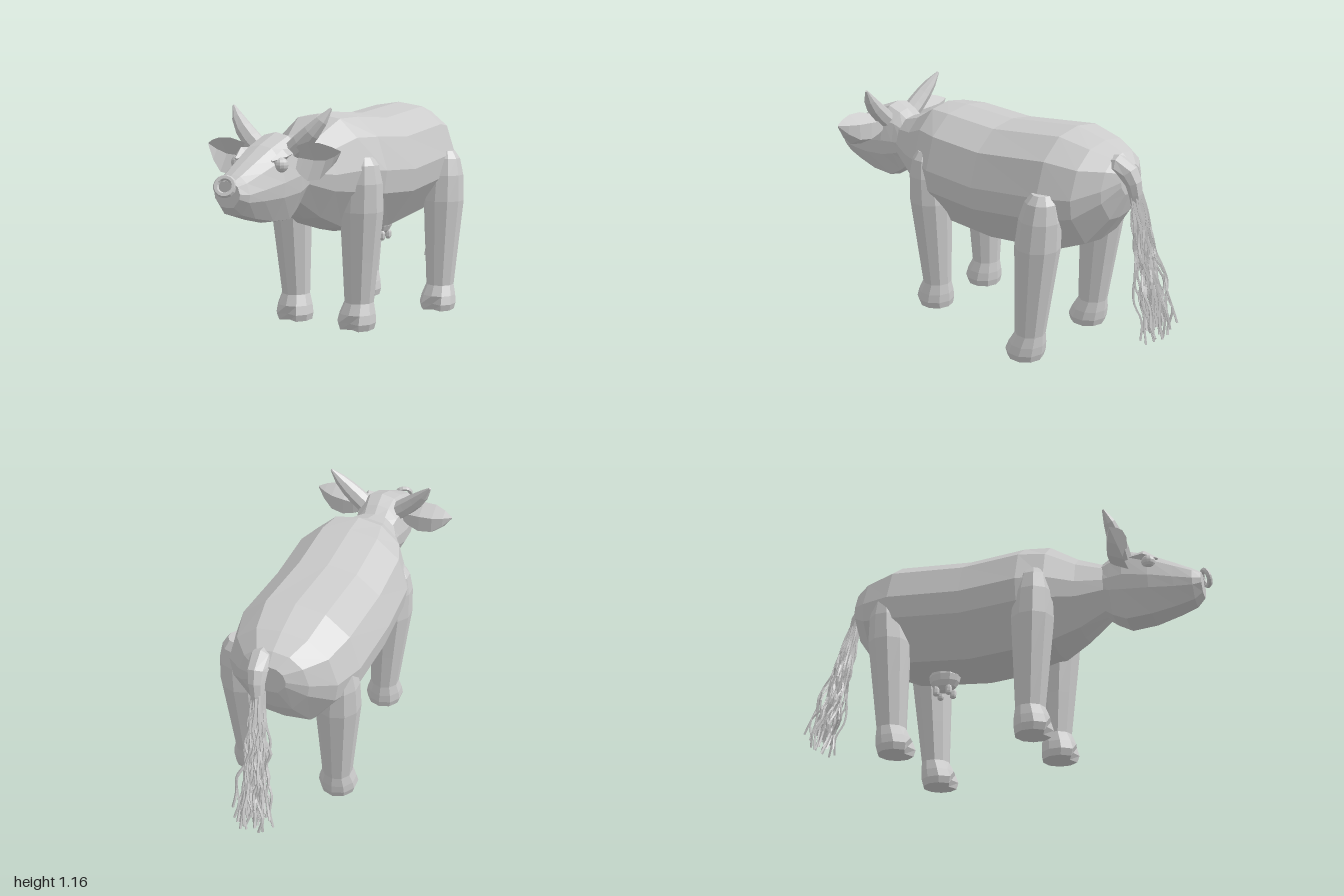
import * as THREE from 'three';
import { mergeGeometries } from 'three/addons/utils/BufferGeometryUtils.js';

const V = (x, y, z) => new THREE.Vector3(x, y, z);
const grey = new THREE.MeshStandardMaterial({ color: 0xcccccc, flatShading: true, side: THREE.DoubleSide });

// Skin between rings of points, closed at both ends
function loft(rings) {
  const n = rings[0].length, pos = [], idx = [];
  rings.forEach(r => r.forEach(p => pos.push(p.x, p.y, p.z)));
  for (let i = 0; i < rings.length - 1; i++) {
    for (let j = 0; j < n; j++) {
      const a = i * n + j, b = i * n + (j + 1) % n;
      idx.push(a, b, b + n, a, b + n, a + n);
    }
  }
  [0, rings.length - 1].forEach((i, end) => {
    const c = rings[i].reduce((s, p) => s.add(p), V(0, 0, 0)).divideScalar(n);
    const k = pos.length / 3;
    pos.push(c.x, c.y, c.z);
    for (let j = 0; j < n; j++) {
      const a = i * n + j, b = i * n + (j + 1) % n;
      if (end) idx.push(k, a, b); else idx.push(k, b, a);
    }
  });
  const g = new THREE.BufferGeometry();
  g.setAttribute('position', new THREE.Float32BufferAttribute(pos, 3));
  g.setIndex(idx);
  g.computeVertexNormals();
  return g;
}

// Round tapering limb along a smooth curve
function taper(points, radii, sides = 8) {
  const curve = new THREE.CatmullRomCurve3(points), n = radii.length - 1;
  const f = curve.computeFrenetFrames(n, false);
  return loft(radii.map((r, i) => Array.from({ length: sides }, (_, j) => {
    const t = j / sides * Math.PI * 2;
    return curve.getPointAt(i / n)
      .addScaledVector(f.normals[i], r * Math.cos(t))
      .addScaledVector(f.binormals[i], r * Math.sin(t));
  })));
}

// Half outline of the trunk from top to bottom, mirrored into a full ring
const half = [[0, 1], [0.46, 0.93], [0.83, 0.62], [1, 0.08], [0.95, -0.3], [0.5, -0.93], [0, -1]];
const outline = [...half.map(([x, y]) => [-x, y]), ...half.slice(1, -1).reverse()];
const trunk = sections => loft(sections.map(([z, top, bottom, w]) =>
  outline.map(([x, y]) => V(x * w, (top + bottom) / 2 + y * (top - bottom) / 2, z))));

// Leg with a cloven hoof: rows of height, radius, forward shift, cleft
function leg(foot, top) {
  const rows = [[0, 0.09, 0.018, 0.55], [0.035, 0.1, 0.02, 0.65], [0.08, 0.093, 0.012, 0.95], [0.135, 0.076, 0, 1],
    [0.35, 0.092, 0, 1], [0.6, 0.111, 0, 1], [0.74, 0.102, 0, 1], [0.83, 0.08, 0, 1], [0.87, 0.05, 0, 1]];
  return loft(rows.map(([y, r, fwd, cleft]) => {
    const c = foot.clone().lerp(top, y / 0.87);
    return Array.from({ length: 10 }, (_, j) => {
      const t = j / 10 * Math.PI * 2, q = j === 0 ? r * cleft : r;
      return V(c.x + q * Math.sin(t), foot.y + y, c.z + fwd + q * Math.cos(t));
    });
  }));
}

// Cupped ear, side is 1 for left and -1 for right, sweep moves the tip forward
function ear(side, sweep) {
  const rows = [[0.11, 0.93, 0.03], [0.16, 0.925, 0.065], [0.22, 0.92, 0.088], [0.29, 0.925, 0.082], [0.345, 0.945, 0.048], [0.39, 0.97, 0.004]];
  return loft(rows.map(([x, y, h], i) => {
    const d = h * 0.5, z = 0.66 + sweep * i / 5;
    const ring = [V(x, y + h, z + d), V(x, y, z - d * 0.3), V(x, y - h, z + d), V(x, y - h * 0.5, z - d), V(x, y + h * 0.5, z - d)];
    ring.forEach(p => { p.x *= side; });
    return side > 0 ? ring : ring.reverse();
  }));
}

export function createModel() {
  const model = new THREE.Group();
  model.name = 'cow';
  const cow = new THREE.Group();
  cow.name = 'animal';
  cow.rotation.y = THREE.MathUtils.degToRad(-62);
  cow.position.set(-0.028, 0, -0.053);
  model.add(cow);
  const add = (name, geo, p = V(0, 0, 0), parent = cow) => {
    const m = new THREE.Mesh(geo, grey);
    m.name = name;
    m.position.copy(p);
    parent.add(m);
    return m;
  };

  // Trunk and neck: z, top, bottom, half width
  add('body', trunk([
    [-0.86, 1.0, 0.86, 0.08], [-0.81, 1.05, 0.73, 0.17], [-0.71, 1.09, 0.59, 0.268], [-0.55, 1.13, 0.52, 0.317],
    [-0.15, 1.09, 0.48, 0.32], [0.15, 1.11, 0.5, 0.315], [0.28, 1.105, 0.53, 0.265], [0.42, 1.02, 0.6, 0.19], [0.56, 0.97, 0.7, 0.12]]));
  add('head', trunk([
    [0.52, 0.97, 0.71, 0.12], [0.58, 1.01, 0.66, 0.13], [0.65, 1.04, 0.62, 0.145], [0.78, 0.99, 0.63, 0.14],
    [0.9, 0.925, 0.66, 0.115], [0.99, 0.875, 0.69, 0.095], [1.03, 0.85, 0.73, 0.07]]));

  // Horns, ears, eyes and brows
  for (const s of [1, -1]) {
    const side = s > 0 ? 'left' : 'right';
    add(side + 'Horn', taper([V(0.085 * s, 0.95, 0.65), V(0.155 * s, 1.01, 0.645), V(0.222 * s, 1.08, 0.63), V(0.275 * s, 1.155, 0.605)],
      [0.05, 0.049, 0.043, 0.03, 0.006]));
    add(side + 'Ear', ear(s, s > 0 ? 0.05 : 0));
    add(side + 'Eye', new THREE.SphereGeometry(0.036, 12, 8), V(0.117 * s, 0.905, 0.785));
    add(side + 'Brow', taper([V(0.1 * s, 0.95, 0.69), V(0.115 * s, 0.945, 0.76), V(0.1 * s, 0.925, 0.83)], [0.02, 0.03, 0.006], 4));
  }

  // Nose ring
  const ring = add('noseRing', new THREE.TorusGeometry(0.04, 0.013, 6, 16), V(0, 0.828, 1.045));
  ring.rotation.set(-0.4, 0.4, 0);

  // Legs: foot, then top
  add('frontLeftLeg', leg(V(0.18, 0.03, 0.2), V(0.222, 0.9, 0.225)));
  add('frontRightLeg', leg(V(-0.2, 0.03, 0.185), V(-0.222, 0.9, 0.22)));
  add('hindLeftLeg', leg(V(0.288, 0, -0.5), V(0.288, 0.87, -0.565)));
  add('hindRightLeg', leg(V(-0.2, 0.02, -0.53), V(-0.222, 0.89, -0.585)));

  // Udder with four teats
  const udder = new THREE.Group();
  udder.name = 'udder';
  cow.add(udder);
  const bag = add('bag', new THREE.SphereGeometry(0.085, 10, 8), V(0, 0.495, -0.346), udder);
  bag.scale.x = 0.75;
  for (const x of [-1, 1]) for (const z of [-1, 1])
    add('teat', new THREE.CapsuleGeometry(0.018, 0.02, 3, 8), V(x * 0.03, 0.41, -0.346 + z * 0.035), udder);

  // Tail root and wavy hair strands
  add('tail', taper([V(0.05, 0.99, -0.78), V(0.05, 1.0, -0.85), V(0.042, 0.94, -0.9), V(0.03, 0.83, -0.92)],
    [0.055, 0.055, 0.048, 0.04, 0.034, 0.028]));
  let seed = 7;
  const rand = () => (seed = (seed * 16807) % 2147483647) / 2147483647;
  const strands = [];
  for (let i = 0; i < 44; i++) {
    const a = i * 2.4, r = Math.sqrt((i + 0.5) / 44), end = 0.17 + rand() * 0.16;
    const pts = [];
    for (let k = 0; k <= 8; k++) {
      const t = k / 8, spread = r * (0.028 + 0.055 * t), wave = 0.02 * Math.min(1, t * 2);
      pts.push(V(0.03 - 0.01 * t + Math.cos(a) * spread + (rand() - 0.5) * 2 * wave,
        0.89 + (end - 0.89) * t,
        -0.91 - 0.15 * t + Math.sin(a) * spread + (rand() - 0.5) * 2 * wave));
    }
    strands.push(new THREE.TubeGeometry(new THREE.CatmullRomCurve3(pts), 24, 0.0065, 4));
  }
  add('tailHair', mergeGeometries(strands));
  return model;
}
